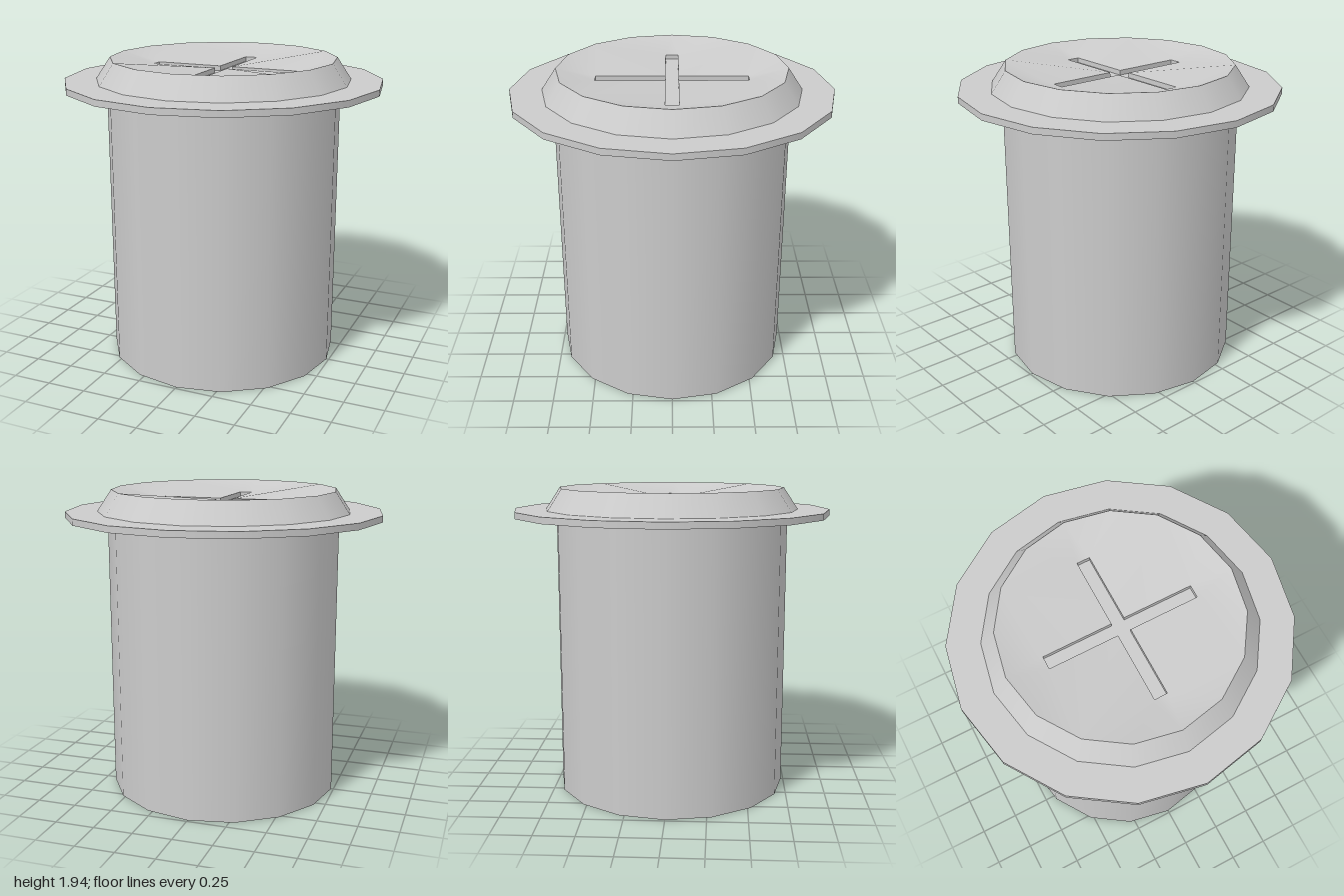
import * as THREE from 'three';

const SIDES = 16;
const RIM_R = 0.71, RIM_Y = 1.935;     // upper edge of the bevel
const DISH_Y = 1.87, SLOT_DEPTH = 0.03; // sunken centre and the slot cut into it
const ARM = 0.47, HALF = 0.04;          // cross slot arm length and half width

const material = new THREE.MeshStandardMaterial({ color: 0xcccccc });

function addMesh(group, name, geometry, y = 0) {
  const mesh = new THREE.Mesh(geometry, material);
  mesh.name = name;
  mesh.position.y = y;
  group.add(mesh);
}

function drum(rTop, rBottom, y0, y1, open = false) {
  return new THREE.CylinderGeometry(rTop, rBottom, y1 - y0, SIDES, 1, open).translate(0, (y0 + y1) / 2, 0);
}

// Cross outline, counter-clockwise from above: three corners per quarter turn
function crossOutline() {
  const points = [];
  for (let q = 0; q < 4; q++) {
    for (const [x, y] of [[ARM, HALF], [HALF, HALF], [HALF, ARM]]) {
      points.push(new THREE.Vector2(x, y).rotateAround(new THREE.Vector2(), q * Math.PI / 2));
    }
  }
  return points;
}

// Sunken top: bridges the round rim to the cross-shaped opening
function dishGeometry(cross) {
  const positions = [], index = [];
  for (let i = 0; i < SIDES; i++) {
    const a = i / SIDES * Math.PI * 2;
    positions.push(RIM_R * Math.cos(a), RIM_Y, -RIM_R * Math.sin(a));
  }
  for (const p of cross) positions.push(p.x, DISH_Y, -p.y);
  for (let q = 0; q < 4; q++) {
    const rim = (k) => (q * 4 + k) % SIDES;
    const a = SIDES + q * 3, c = a + 1, b = a + 2;
    const before = SIDES + (q * 3 + 11) % 12; // other corner of this arm's tip
    index.push(
      before, rim(0), a,
      a, rim(0), rim(1), a, rim(1), rim(2), a, rim(2), c,
      c, rim(2), b, b, rim(2), rim(3), b, rim(3), rim(4)
    );
  }
  const geometry = new THREE.BufferGeometry();
  geometry.setAttribute('position', new THREE.Float32BufferAttribute(positions, 3));
  geometry.setIndex(index);
  geometry.computeVertexNormals();
  return geometry;
}

// Inward-facing walls of the cross slot
function slotWallGeometry(cross) {
  const positions = [];
  const low = DISH_Y - SLOT_DEPTH;
  cross.forEach((p, i) => {
    const n = cross[(i + 1) % cross.length];
    const a = [p.x, low, -p.y], b = [n.x, low, -n.y];
    const c = [n.x, DISH_Y, -n.y], d = [p.x, DISH_Y, -p.y];
    positions.push(...a, ...c, ...b, ...a, ...d, ...c);
  });
  const geometry = new THREE.BufferGeometry();
  geometry.setAttribute('position', new THREE.Float32BufferAttribute(positions, 3));
  geometry.computeVertexNormals();
  return geometry;
}

export function createModel() {
  const group = new THREE.Group();
  group.name = 'flangedPlug';

  addMesh(group, 'body', drum(0.735, 0.735, 0, 1.76));
  addMesh(group, 'flange', drum(1, 1, 1.76, 1.8));
  addMesh(group, 'bevel', drum(RIM_R, 0.8, 1.8, RIM_Y, true));

  // Dished cap with its recessed cross slot
  const cross = crossOutline();
  addMesh(group, 'dishedTop', dishGeometry(cross));
  addMesh(group, 'slotWalls', slotWallGeometry(cross));
  const floor = new THREE.ShapeGeometry(new THREE.Shape(cross)).rotateX(-Math.PI / 2);
  addMesh(group, 'slotFloor', floor, DISH_Y - SLOT_DEPTH);

  return group;
}
